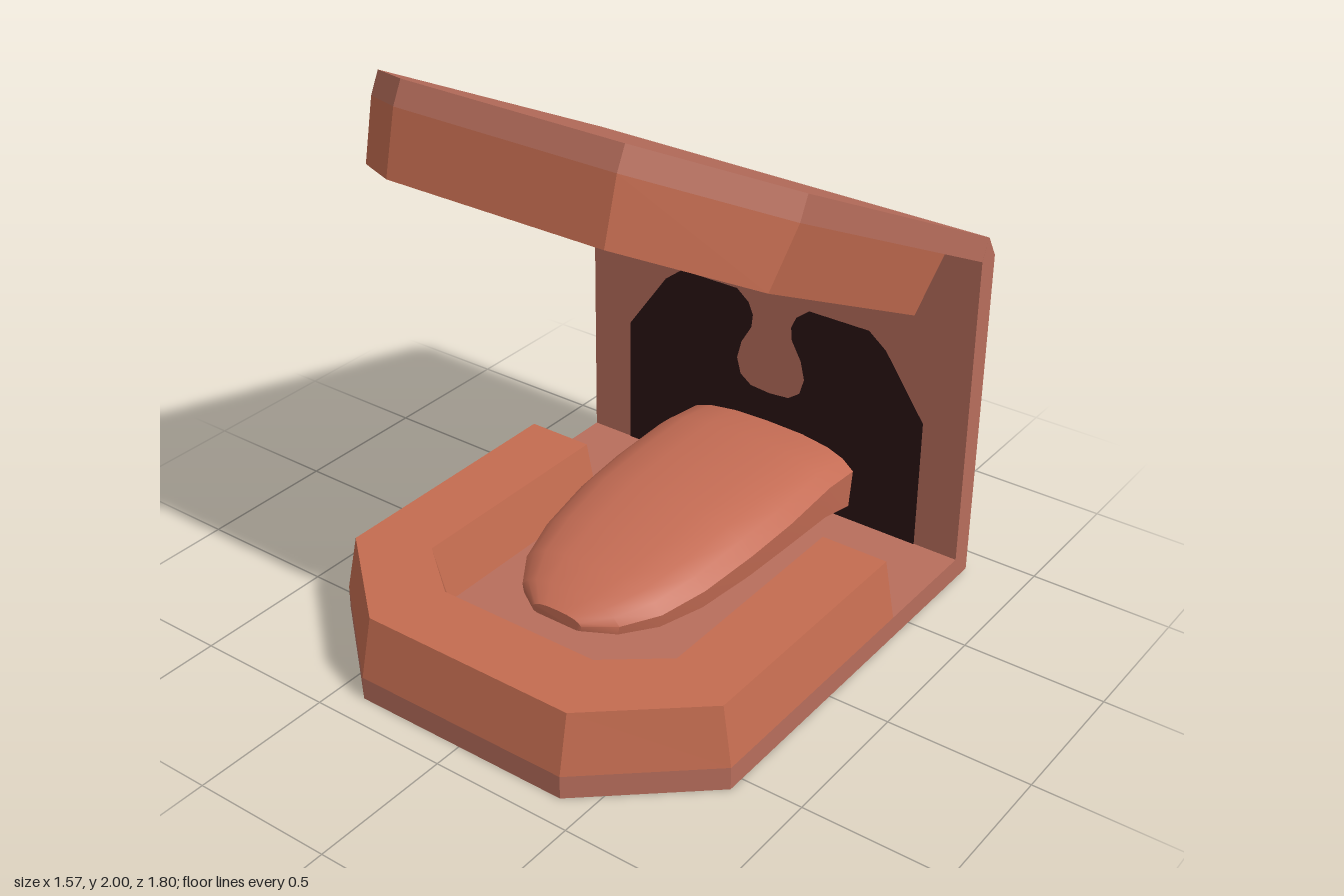
import * as THREE from 'three';
import { toCreasedNormals } from 'three/addons/utils/BufferGeometryUtils.js';

const material = (color, extra = {}) => new THREE.MeshStandardMaterial({ color, ...extra });
const skin = material(0xb86e5c);
const gum = material(0xc46c50);
const tongueSkin = material(0xc46c54);
const dark = material(0x2a1414, { side: THREE.DoubleSide });

const T = 0.082; // shell thickness
const HALF = 0.785; // half width

function named(name, geometry, mat) {
  const mesh = new THREE.Mesh(geometry, mat);
  mesh.name = name;
  return mesh;
}

// Skins a row of closed cross-sections (counter-clockwise along travel) and caps both ends
function loft(rings, crease) {
  const pos = [];
  const tri = (...pts) => pts.forEach((p) => pos.push(...p));
  const n = rings[0].length;
  for (let i = 0; i < rings.length - 1; i++) {
    for (let j = 0; j < n; j++) {
      const k = (j + 1) % n, a = rings[i], b = rings[i + 1];
      tri(a[j], a[k], b[k]);
      tri(a[j], b[k], b[j]);
    }
  }
  const first = rings[0], last = rings[rings.length - 1];
  for (let j = 1; j < n - 1; j++) {
    tri(first[0], first[j + 1], first[j]);
    tri(last[0], last[j], last[j + 1]);
  }
  const g = new THREE.BufferGeometry();
  g.setAttribute('position', new THREE.Float32BufferAttribute(pos, 3));
  g.computeVertexNormals();
  return crease ? toCreasedNormals(g, crease) : g;
}

// Flat plate with two chamfered front corners
function plate(back) {
  const outline = [[-HALF, back], [HALF, back], [HALF, 0.56], [0.4, 0.9], [-0.4, 0.9], [-HALF, 0.56]];
  const shape = new THREE.Shape(outline.map(([x, z]) => new THREE.Vector2(x, z)));
  return new THREE.ExtrudeGeometry(shape, { depth: T, bevelEnabled: false })
    .rotateX(Math.PI / 2).translate(0, T, 0);
}

// U-shaped gum, tapering away from its plate
function gumRidge() {
  const end = -0.39, top = 0.29;
  // one side: [inner base, outer base, outer tip, inner tip] as x, z
  const half = [
    [[0.455, end], [HALF, end], [0.745, end], [0.5, end]],
    [[0.455, 0.42], [HALF, 0.56], [0.745, 0.55], [0.5, 0.445]],
    [[0.275, 0.565], [0.4, 0.9], [0.395, 0.855], [0.3, 0.605]],
  ];
  const mirrored = half.map((r) => r.map(([x, z]) => [-x, z])).reverse();
  const heights = [T, T, top, top];
  return loft([...half, ...mirrored].map((r) => r.map(([x, z], i) => [x, heights[i], z])));
}

function jaw(name, back) {
  const group = new THREE.Group();
  group.name = name;
  group.add(named(name + 'Plate', plate(back), skin), named(name + 'Gum', gumRidge(), gum));
  return group;
}

// Back wall with a bevelled upper edge, extruded across the width
function backWall() {
  const profile = [[0.9, 0], [0.9, 1.22], [0.85, 1.3], [0.815, 1.226], [0.815, 0]];
  const shape = new THREE.Shape(profile.map(([z, y]) => new THREE.Vector2(z, y)));
  return new THREE.ExtrudeGeometry(shape, { depth: HALF * 2, bevelEnabled: false })
    .translate(0, 0, -HALF).rotateY(Math.PI / 2);
}

// Dark throat opening with the uvula left free in its middle
function throat() {
  const half = [
    [0.62, T], [0.62, 0.57], [0.46, 0.8], [0.39, 0.855], [0.15, 0.855], [0.1, 0.815], [0.08, 0.77],
    [0.085, 0.72], [0.125, 0.65], [0.142, 0.58], [0.125, 0.52], [0.08, 0.487], [0, 0.48],
  ];
  const other = half.slice(0, -1).map(([x, y]) => [-x, y]).reverse();
  return new THREE.ShapeGeometry(new THREE.Shape([...half, ...other].map((p) => new THREE.Vector2(...p))))
    .translate(0, 0, -0.812);
}

// Tongue: domed top, short upright sides, rounded tip
function tongue() {
  // z, half width, underside, side seam, top
  const stations = [
    [-0.815, 0.36, 0.1, 0.285, 0.365], [-0.65, 0.365, 0.145, 0.3, 0.388], [-0.4, 0.37, 0.165, 0.285, 0.38],
    [-0.18, 0.36, 0.165, 0.27, 0.37], [0.05, 0.33, 0.16, 0.245, 0.332], [0.22, 0.28, 0.165, 0.225, 0.302],
    [0.34, 0.2, 0.175, 0.215, 0.272], [0.41, 0.1, 0.19, 0.212, 0.235],
  ];
  return loft(stations.map(([z, w, low, seam, top]) => {
    const dome = (f) => seam + f * (top - seam);
    const right = [[0.8, low], [0.97, low + 0.2 * (seam - low)], [1, seam], [0.88, dome(0.45)], [0.7, dome(0.75)], [0.4, dome(0.95)]];
    const left = right.map(([x, y]) => [-x, y]).reverse();
    return [...right, [0, top], ...left].map(([x, y]) => [x * w, y, z]);
  }), Math.PI / 4.5);
}

export function createModel() {
  const model = new THREE.Group();
  model.name = 'openMouth';

  const lower = jaw('lowerJaw', -0.815);

  // The upper jaw is the lower one turned over and tilted open
  const upper = jaw('upperJaw', -0.683);
  upper.rotation.set(-0.458, 0, Math.PI);
  upper.position.set(0, 1.602, -0.237);

  model.add(
    lower,
    upper,
    named('backWall', backWall(), skin),
    named('throat', throat(), dark),
    named('tongue', tongue(), tongueSkin),
  );
  return model;
}
